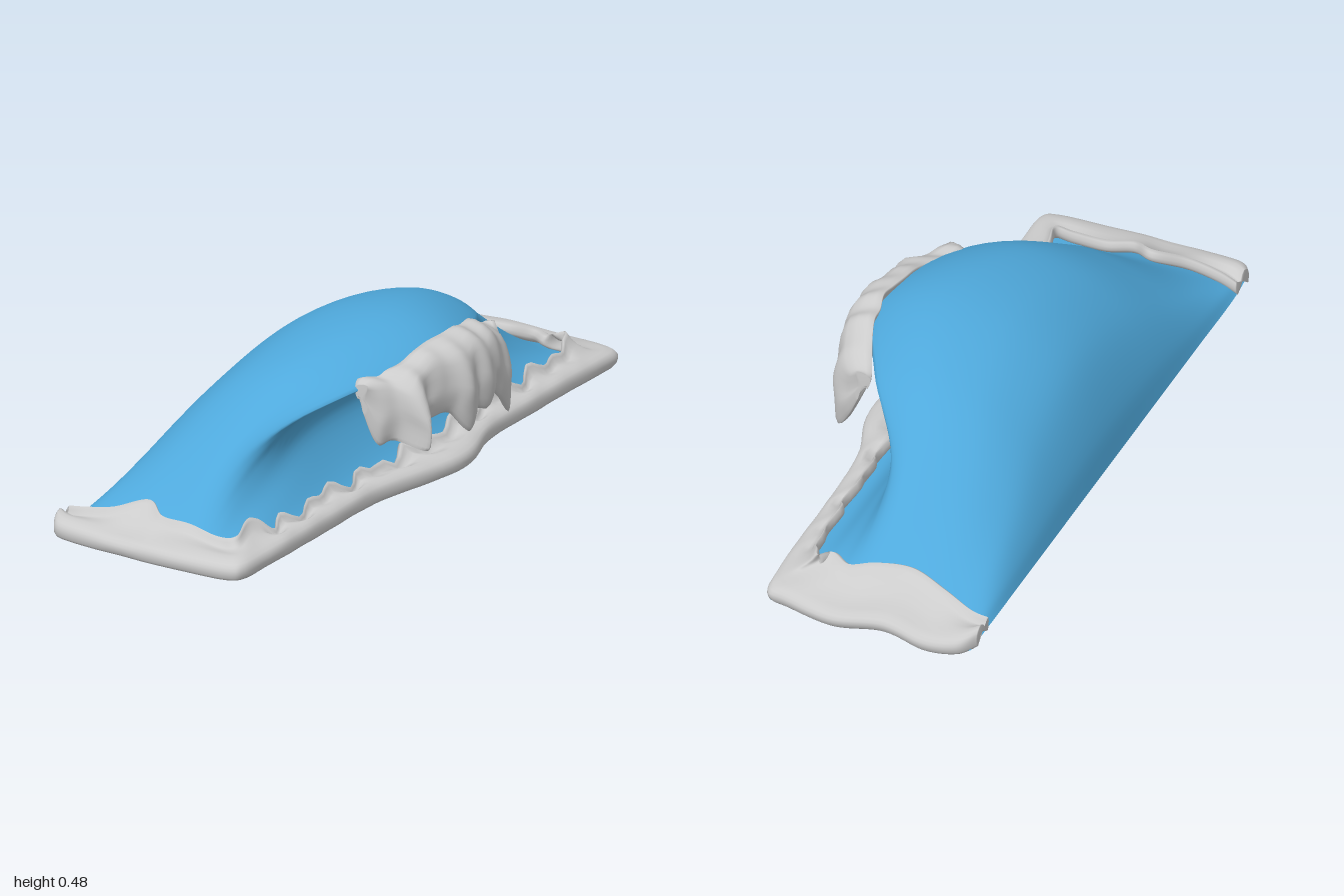
import * as THREE from 'three';

const V = (x, y, z) => new THREE.Vector3(x, y, z);
const blue = new THREE.MeshStandardMaterial({ color: 0x4fa9dc, side: THREE.DoubleSide });
const grey = new THREE.MeshStandardMaterial({ color: 0xcccccc, side: THREE.DoubleSide });

// Skin over rows of points; closed rows wrap round and get end caps
function loft(rows, closed, material, name) {
  const n = rows[0].length, pos = [], idx = [];
  rows.forEach(r => r.forEach(p => pos.push(p.x, p.y, p.z)));
  for (let i = 0; i < rows.length - 1; i++) {
    for (let j = 0; j < (closed ? n : n - 1); j++) {
      const k = (j + 1) % n, a = i * n + j, b = i * n + k, c = a + n, d = b + n;
      idx.push(a, b, c, b, d, c);
    }
  }
  if (closed) {
    [0, rows.length - 1].forEach(i => {
      const mid = rows[i].reduce((s, p) => s.add(p), V(0, 0, 0)).divideScalar(n);
      const c = pos.length / 3;
      pos.push(mid.x, mid.y, mid.z);
      for (let j = 0; j < n; j++) {
        const a = i * n + j, b = i * n + (j + 1) % n;
        idx.push(...(i === 0 ? [c, b, a] : [c, a, b]));
      }
    });
  }
  const g = new THREE.BufferGeometry();
  g.setAttribute('position', new THREE.Float32BufferAttribute(pos, 3));
  g.setIndex(idx);
  g.computeVertexNormals();
  const mesh = new THREE.Mesh(g, material);
  mesh.name = name;
  return mesh;
}

// Spline through rows of control numbers, t in 0..1
function sampleRows(rows, t) {
  const f = t * (rows.length - 1), i = Math.min(Math.floor(f), rows.length - 2), w = f - i;
  const at = k => rows[Math.max(0, Math.min(rows.length - 1, k))];
  return rows[i].map((_, c) => {
    const [a, b, d, e] = [at(i - 1)[c], at(i)[c], at(i + 1)[c], at(i + 2)[c]];
    return b + 0.5 * w * (d - a + w * (2 * a - 5 * b + 4 * d - e + w * (3 * (b - d) + e - a)));
  });
}

// Cross-sections from the back foot, over the crest, under the curl to the front foot
const middle = [[-.39, .035], [-.365, .15], [-.29, .305], [-.21, .385], [-.08, .455], [.10, .485], [.24, .452],
  [.32, .395], [.24, .375], [.13, .35], [.065, .25], [.095, .16], [.18, .06], [.28, .04]];
const shoulder = [[-.39, .035], [-.365, .13], [-.30, .25], [-.22, .33], [-.12, .39], [.02, .425], [.13, .41],
  [.20, .375], [.15, .36], [.09, .32], [.06, .24], [.09, .155], [.17, .05], [.235, .035]];
const flank = [[-.39, .035], [-.37, .09], [-.33, .15], [-.27, .20], [-.19, .245], [-.09, .275], [0, .28],
  [.035, .26], [.045, .235], [.05, .20], [.07, .15], [.11, .10], [.17, .045], [.235, .035]];
const end = [[-.39, .035], [-.37, .055], [-.34, .065], [-.28, .073], [-.20, .08], [-.10, .083], [-.04, .083],
  [0, .08], [.03, .074], [.06, .065], [.09, .055], [.13, .045], [.17, .04], [.235, .035]];
const flat = y => end.map(([x]) => [x * .98, y]);

function waveSheet() {
  const keys = [[.965, flat(.035)], [.86, end], [.60, flank], [.35, shoulder], [0, middle],
    [-.30, shoulder], [-.55, flank], [-.83, end], [-.96, flat(.022)]];
  const U = 56, W = 72;
  const profiles = keys.map(([z, pts]) => new THREE.CatmullRomCurve3(pts.map(([x, y]) => V(x, y, z))));
  const cols = [];
  for (let j = 0; j <= U; j++) {
    const across = new THREE.CatmullRomCurve3(profiles.map(c => c.getPoint(j / U)));
    cols.push(Array.from({ length: W + 1 }, (_, i) => across.getPoint(i / W)));
  }
  return loft(cols, false, blue, 'waveSheet');
}

// U-shaped foam border: [outer x, outer z, inner x, inner z, inner height, base height]
function foamBorder() {
  const rows = [[-.395, .95, -.395, .865, .085, .035], [-.36, .985, -.33, .875, .10, .032], [-.25, .995, -.24, .87, .12, .03],
    [-.15, .998, -.15, .825, .148, .03], [-.06, .998, -.08, .87, .13, .03], [.05, .995, .0, .855, .12, .03],
    [.20, .985, .10, .87, .11, .032], [.245, .95, .155, .86, .12, .035], [.25, .84, .13, .76, .135, .035],
    [.25, .70, .175, .69, .10, .035], [.25, .5, .175, .5, .115, .035], [.255, .28, .18, .28, .11, .035],
    [.315, -.06, .19, -.02, .105, .03], [.26, -.28, .18, -.28, .11, .03], [.25, -.5, .175, -.5, .115, .025],
    [.25, -.7, .17, -.7, .11, .025], [.25, -.86, .13, -.84, .13, .02], [.24, -.955, .09, -.80, .125, .016],
    [.18, -.975, .03, -.83, .12, .015], [.03, -.998, -.04, -.80, .13, .006], [-.12, -.98, -.14, -.785, .13, .018],
    [-.25, -.995, -.25, -.82, .11, .002], [-.35, -.985, -.34, -.855, .09, .012], [-.395, -.94, -.395, -.86, .08, .025]];
  const N = 210, rings = [];
  for (let i = 0; i <= N; i++) {
    const [ox, oz, ix, iz, h, b] = sampleRows(rows, i / N);
    // Ragged splashes along the long side
    const side = THREE.MathUtils.smoothstep(.85 - Math.abs(oz), 0, .1);
    const jag = side * (Math.sin(oz * 50) * .6 + Math.sin(oz * 29 + 1) * .5);
    const p = (k, y) => V(THREE.MathUtils.lerp(ox, ix - jag * .016, k), y, THREE.MathUtils.lerp(oz, iz, k));
    const top = h + jag * .018;
    const ring = new THREE.CatmullRomCurve3([p(.06, b), p(0, b + .025), p(.08, b + .045), p(.4, b + .058),
      p(.75, top - .025), p(.93, top), p(1, top - .025), p(.9, top - .045), p(.4, b + .032)], true);
    rings.push(Array.from({ length: 22 }, (_, j) => ring.getPoint(j / 22)));
  }
  return loft(rings, true, grey, 'foamBorder');
}

// Foam hanging from the lip: [z, top x, top y, front x, front y, bottom x, bottom y]
function foamCrest() {
  const rows = [[.325, .20, .39, .235, .36, .23, .315], [.30, .195, .405, .265, .33, .26, .22], [.26, .205, .40, .31, .33, .29, .225],
    [.23, .22, .41, .385, .30, .385, .205], [.18, .25, .42, .345, .33, .33, .26], [.12, .26, .44, .335, .34, .32, .25],
    [.06, .265, .45, .37, .34, .34, .25], [0, .275, .455, .392, .32, .37, .18], [-.05, .28, .46, .37, .34, .355, .225],
    [-.10, .27, .445, .388, .33, .365, .215], [-.15, .265, .445, .365, .33, .345, .24], [-.20, .25, .42, .36, .31, .345, .20],
    [-.26, .225, .385, .335, .28, .33, .14], [-.295, .21, .37, .29, .29, .285, .20], [-.315, .205, .36, .24, .33, .245, .28]];
  const N = 110, rings = [];
  for (let i = 0; i <= N; i++) {
    const [z, tx, ty, fx, fy, bx, by] = sampleRows(rows, i / N);
    const lump = Math.sin(z * 70) * .006;
    const thick = Math.min(.07, (fx - tx) * .7);
    const ring = new THREE.CatmullRomCurve3([V(tx, ty, z), V((tx + fx) / 2 + .025, (ty + fy) / 2 + .03 + lump, z),
      V(fx + lump, fy, z), V((fx + bx) / 2 + .008, (fy + by) / 2, z + lump), V(bx, by, z),
      V(bx - thick * .4, by + .03, z), V(fx - thick, fy + .005, z), V(tx + .01, ty - .035, z)], true);
    rings.push(Array.from({ length: 24 }, (_, j) => ring.getPoint(j / 24)).reverse());
  }
  return loft(rings, true, grey, 'foamCrest');
}

export function createModel() {
  const wave = new THREE.Group();
  wave.name = 'wave';
  wave.add(waveSheet(), foamBorder(), foamCrest());
  // Face winding outward for the closed foam solids
  wave.children.slice(1).forEach(m => {
    const p = m.geometry.attributes.position, ix = m.geometry.index;
    let volume = 0;
    for (let i = 0; i < ix.count; i += 3) {
      const [a, b, c] = [0, 1, 2].map(k => new THREE.Vector3().fromBufferAttribute(p, ix.getX(i + k)));
      volume += a.dot(b.cross(c));
    }
    if (volume < 0) { ix.array.reverse(); m.geometry.computeVertexNormals(); }
  });
  return wave;
}
